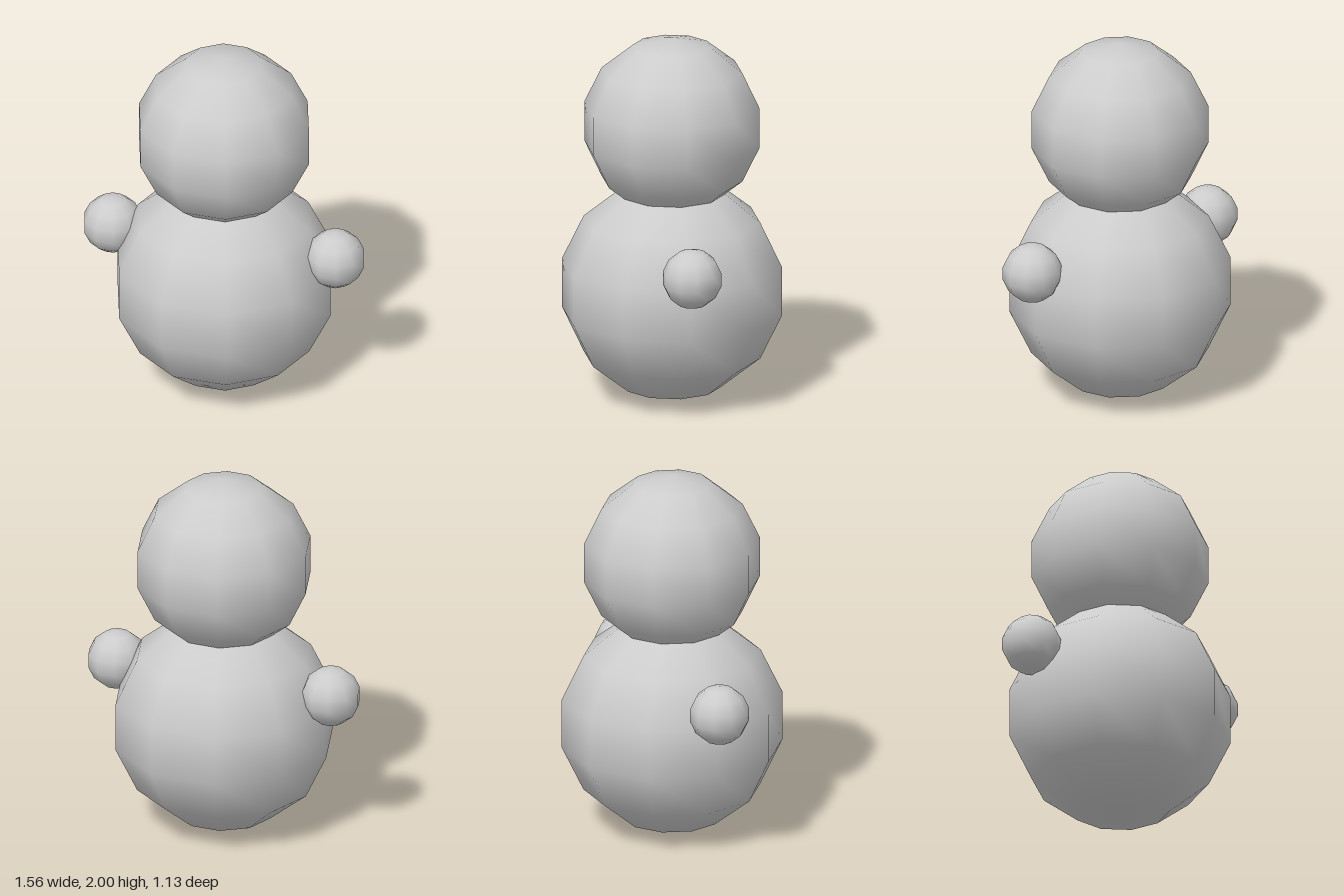
import * as THREE from 'three';

export function createModel() {
  const model = new THREE.Group();
  model.name = 'snowFigure';

  const snow = new THREE.MeshStandardMaterial({ color: 0xcccccc });
  snow.name = 'paleGrey';

  // Every part is a coarse smooth ball: 10 sides, 7 bands
  function addBall(name, radius, x, y) {
    const ball = new THREE.Mesh(new THREE.SphereGeometry(radius, 10, 7), snow);
    ball.name = name;
    ball.position.set(x, y, 0);
    model.add(ball);
  }

  addBall('body', 0.608, 0, 0.608);
  addBall('head', 0.485, 0, 1.515);

  // Arms, mirrored left and right
  for (const [name, side] of [['leftArm', 1], ['rightArm', -1]]) {
    addBall(name, 0.162, side * 0.62, 0.842);
  }

  return model;
}
